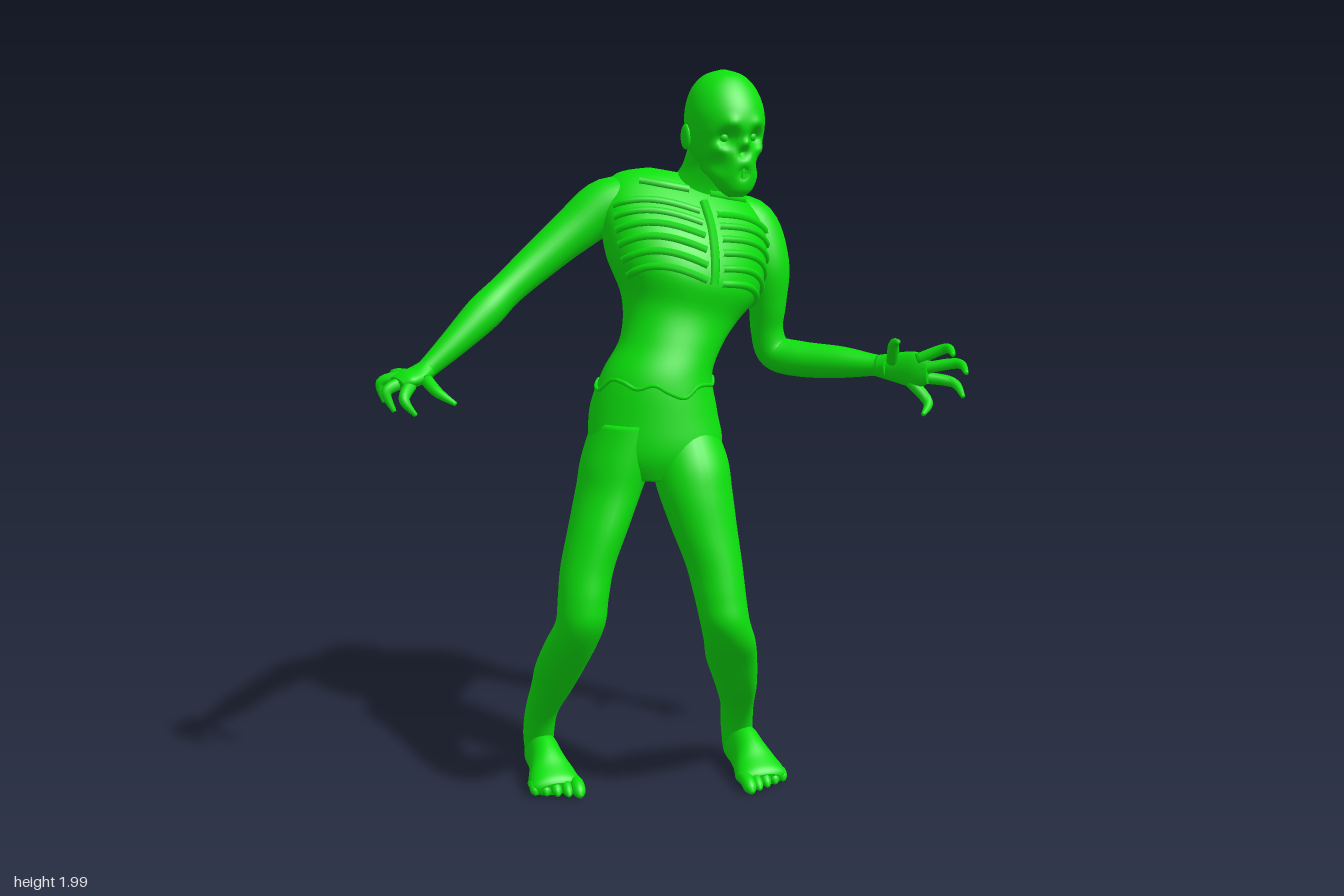
import * as THREE from 'three';

const V = (x, y, z) => new THREE.Vector3(x, y, z);
const skin = new THREE.MeshStandardMaterial({ name: 'green skin', color: 0x0ce00c });

// Smooth interpolation through rows of numbers at fractional index t
function sample(rows, t) {
  const n = rows.length - 1, i = Math.min(Math.floor(t), n - 1), f = t - i;
  const p = k => rows[Math.max(0, Math.min(n, k))];
  return rows[0].map((_, c) => {
    const a = p(i - 1)[c], b = p(i)[c], d = p(i + 1)[c], e = p(i + 2)[c];
    return b + 0.5 * f * (d - a + f * (2 * a - 5 * b + 4 * d - e + f * (3 * (b - d) + e - a)));
  });
}

// Point on a level ring: [x, y, z, rx, rz, roll slope, yaw slope]
function levelPoint(rows, t, a, grow = 1) {
  const [x, y, z, rx, rz, roll = 0, yaw = 0] = sample(rows, t);
  const u = Math.cos(a) * rx * grow;
  return V(x + u, y + roll * u, z + yaw * u + Math.sin(a) * rz * grow);
}

// Point on a ring square to the path: [x, y, z, radiusAcross, radiusUp]
function pathPoint(rows, t, a, ref) {
  const n = rows.length - 1, s = sample(rows, t);
  const p = sample(rows, Math.max(0, t - 0.3)), q = sample(rows, Math.min(n, t + 0.3));
  const T = V(q[0] - p[0], q[1] - p[1], q[2] - p[2]).normalize();
  const u = T.clone().cross(ref).normalize(), v = u.clone().cross(T);
  return V(s[0], s[1], s[2]).addScaledVector(u, Math.cos(a) * s[3])
    .addScaledVector(v, Math.sin(a) * (s[4] ?? s[3]));
}

// Closed skin over rings; ref = null gives level rings
function loft(name, rows, { ref = null, segs = 28, steps = 6, rule = null } = {}) {
  const n = (rows.length - 1) * steps, pos = [], idx = [];
  const push = p => { if (rule) rule(p); pos.push(p.x, p.y, p.z); };
  for (let i = 0; i <= n; i++) for (let j = 0; j < segs; j++) {
    const a = j / segs * Math.PI * 2;
    push(ref ? pathPoint(rows, i / steps, a, ref) : levelPoint(rows, i / steps, a));
  }
  const c0 = (n + 1) * segs;
  push(V(...rows[0].slice(0, 3)));
  push(V(...rows.at(-1).slice(0, 3)));
  for (let j = 0; j < segs; j++) {
    const k = (j + 1) % segs;
    for (let i = 0; i < n; i++) {
      const a = i * segs + j, b = i * segs + k;
      idx.push(a, a + segs, b, b, a + segs, b + segs);
    }
    idx.push(c0, j, k, c0 + 1, n * segs + k, n * segs + j);
  }
  // Turn the faces outward, judged by signed volume
  let vol = 0;
  const P = k => V(pos[3 * k], pos[3 * k + 1], pos[3 * k + 2]);
  for (let i = 0; i < idx.length; i += 3) vol += P(idx[i]).dot(P(idx[i + 1]).cross(P(idx[i + 2])));
  if (vol < 0) idx.reverse();
  const g = new THREE.BufferGeometry();
  g.setAttribute('position', new THREE.Float32BufferAttribute(pos, 3));
  g.setIndex(idx);
  g.computeVertexNormals();
  return part(name, g);
}

function part(name, geometry) {
  const m = new THREE.Mesh(geometry, skin);
  m.name = name;
  return m;
}
const ball = (name, p, r, s = [1, 1, 1]) => {
  const m = part(name, new THREE.SphereGeometry(r, 16, 12));
  m.position.copy(p);
  m.scale.set(...s);
  return m;
};
const cord = (name, pts, r) =>
  part(name, new THREE.TubeGeometry(new THREE.CatmullRomCurve3(pts), pts.length * 4, r, 6));

const torsoRows = [
  [-0.04, 0.93, 0.01, 0.09, 0.07, 0, 0.25], [-0.025, 1.0, -0.01, 0.165, 0.115, 0, 0.25],
  [-0.02, 1.1, -0.04, 0.165, 0.135, 0, 0.2], [-0.005, 1.2, -0.045, 0.145, 0.125, -0.05, 0.12],
  [0.045, 1.28, -0.06, 0.138, 0.12, -0.12, 0.05], [0.09, 1.36, -0.095, 0.16, 0.14, -0.25, 0.02],
  [0.115, 1.45, -0.12, 0.212, 0.175, -0.28, 0.05], [0.135, 1.55, -0.15, 0.232, 0.165, -0.25, 0.1],
  [0.15, 1.63, -0.18, 0.225, 0.13, -0.22, 0.15], [0.15, 1.69, -0.2, 0.175, 0.09, -0.2, 0.15],
  [0.15, 1.72, -0.2, 0.09, 0.045, -0.2, 0.15],
];

function makeTorso() {
  const g = new THREE.Group();
  g.name = 'torso';
  g.add(loft('trunk', torsoRows, { segs: 48 }));
  const on = (t, a, grow = 1) => levelPoint(torsoRows, t, a, grow);
  // Bare ribs sweeping down from the breastbone
  for (const s of [-1, 1]) for (let i = 0; i < 6; i++) {
    const pts = [];
    for (let j = 0; j < 7; j++)
      pts.push(on(7.9 - i * 0.38 + 0.22 * Math.sin(j * 0.6) - j * 0.05, Math.PI / 2 + s * (0.1 + j * 0.2), 0.99));
    g.add(cord('rib', pts, 0.011));
  }
  g.add(cord('breastbone', [8.3, 7.6, 7, 6.4, 5.9].map(t => on(t, Math.PI / 2, 0.99)), 0.014));
  for (const s of [-1, 1])
    g.add(cord('collarbone', [0.15, 0.5, 0.9].map(d => on(8.75, Math.PI / 2 + s * d)), 0.012));
  // Ragged skin edges round the hips and shoulder blades
  const ragged = (name, t0, a0, a1, amp) => {
    const pts = [];
    for (let j = 0; j <= 22; j++)
      pts.push(on(t0 + amp * (Math.sin(j * 2.1) + Math.sin(j * 0.9)), a0 + (a1 - a0) * j / 22, 1.005));
    g.add(cord(name, pts, 0.006));
  };
  ragged('torn hip skin', 2.75, 0, Math.PI * 2, 0.12);
  ragged('torn back skin', 7.3, 3.5, 5.9, 0.22);
  // Spine ridge
  g.add(cord('spine', [2.6, 4, 5, 6, 7, 8].map(t => on(t, -Math.PI / 2, 0.985)), 0.014));
  return g;
}

function makeHead() {
  const g = new THREE.Group();
  g.name = 'head';
  const X = 0.21;
  // Hollows [dx, y, reach, depth] and swellings (negative depth) of the face
  const dents = [[-0.042, 1.825, 0.022, 0.032], [0.042, 1.825, 0.022, 0.032], [0, 1.785, 0.013, 0.02],
    [-0.068, 1.755, 0.026, 0.022], [0.068, 1.755, 0.026, 0.022], [0, 1.733, 0.016, 0.014],
    [0, 1.81, 0.013, -0.014], [-0.04, 1.862, 0.018, -0.01], [0.04, 1.862, 0.018, -0.01],
    [-0.065, 1.793, 0.015, -0.012], [0.065, 1.793, 0.015, -0.012]];
  g.add(loft('skull', [
    [X, 1.668, 0, 0.022, 0.018], [X, 1.685, -0.002, 0.045, 0.038], [X, 1.715, -0.012, 0.064, 0.056],
    [X, 1.75, -0.035, 0.08, 0.085], [X, 1.8, -0.064, 0.097, 0.11], [X, 1.85, -0.064, 0.104, 0.118],
    [X, 1.9, -0.066, 0.103, 0.112], [X, 1.95, -0.07, 0.086, 0.088], [X, 1.985, -0.072, 0.052, 0.054],
    [X, 2.0, -0.072, 0.006, 0.006],
  ], {
    segs: 64, steps: 9,
    rule: p => {
      if (p.z < -0.05) return;
      for (const [dx, y, r, d] of dents)
        p.z -= d * Math.exp(-((p.x - X - dx) ** 2 + (p.y - y) ** 2) / (r * r));
    },
  }));
  for (const s of [-1, 1]) {
    g.add(ball('eye', V(X + s * 0.042, 1.825, 0.002), 0.016));
    g.add(ball('ear', V(X + s * 0.104, 1.825, -0.09), 0.034, [0.3, 1, 0.65]));
  }
  // Two rows of bared teeth
  for (const y of [1.742, 1.724]) for (let i = -3; i <= 3; i++) {
    const t = part('tooth', new THREE.BoxGeometry(0.01, 0.015, 0.012));
    t.position.set(X + i * 0.0115, y, 0.036 - i * i * 0.0022);
    g.add(t);
  }
  g.add(loft('neck', [[0.18, 1.6, -0.2, 0.13, 0.1], [0.195, 1.68, -0.175, 0.1, 0.09],
    [0.208, 1.74, -0.135, 0.082, 0.075], [0.21, 1.8, -0.105, 0.078, 0.07], [0.21, 1.85, -0.09, 0.07, 0.06]]));
  return g;
}

// Palm and five clawed fingers; each finger is given as knuckle, joint, tip
function makeHand(name, palm, fingers) {
  const g = new THREE.Group();
  g.name = name;
  g.add(loft('palm', palm.rows, { ref: palm.ref, segs: 18 }));
  fingers.forEach(f => g.add(loft('finger',
    f.map((p, i) => [...p, [0.017, 0.014, 0.006][i]]), { ref: V(1, -1, 0), segs: 10 })));
  return g;
}

// Foot from heel to toes on the ground, in plan
function makeFoot(name, hx, hz, tx, tz, side) {
  const g = new THREE.Group();
  g.name = name;
  const at = (f, y, w, h) => [hx + (tx - hx) * f, y, hz + (tz - hz) * f, w, h];
  const flat = p => { p.y = Math.max(p.y, 0.006); };
  g.add(loft('sole', [at(-0.07, 0.04, 0.012, 0.015), at(0, 0.045, 0.04, 0.045), at(0.25, 0.06, 0.045, 0.075),
    at(0.5, 0.05, 0.052, 0.07), at(0.75, 0.036, 0.068, 0.05), at(0.95, 0.028, 0.072, 0.034),
    at(1.02, 0.024, 0.05, 0.02)], { ref: V(0, 1, 0), rule: flat }));
  const d = V(tx - hx, 0, tz - hz).normalize(), across = V(d.z, 0, -d.x).multiplyScalar(side);
  for (let i = 0; i < 5; i++) {
    const r = i === 0 ? 0.02 : 0.015, len = 0.06 - i * 0.007;
    const b = V(tx, 0, tz).addScaledVector(across, -0.056 + i * 0.029).addScaledVector(d, -0.015 - i * 0.005);
    const q = (f, y, k) => [b.x + d.x * len * f, y, b.z + d.z * len * f, r * k];
    g.add(loft('toe', [q(-0.4, 0.03, 0.9), q(0.4, 0.032, 1), q(0.85, 0.02, 0.9), q(1.1, 0.012, 0.3)],
      { ref: V(0, 1, 0), segs: 12, rule: flat }));
  }
  return g;
}

export function createModel() {
  const model = new THREE.Group();
  model.name = 'undead figure';
  model.add(makeTorso(), makeHead());

  // Legs, bent at the knee
  model.add(loft('left leg', [[0.04, 1.08, -0.01, 0.09, 0.1], [0.046, 0.98, 0.04, 0.104, 0.105],
    [0.048, 0.9, 0.07, 0.102, 0.098], [0.06, 0.8, 0.1, 0.09, 0.088], [0.075, 0.7, 0.13, 0.076, 0.08],
    [0.08, 0.62, 0.155, 0.07, 0.072], [0.088, 0.55, 0.168, 0.067, 0.07], [0.12, 0.48, 0.14, 0.069, 0.077],
    [0.163, 0.4, 0.078, 0.068, 0.08], [0.215, 0.3, 0.01, 0.055, 0.076], [0.265, 0.2, -0.065, 0.043, 0.06],
    [0.288, 0.12, -0.105, 0.042, 0.058], [0.292, 0.05, -0.11, 0.038, 0.05]]));
  model.add(loft('right leg', [[-0.095, 1.08, -0.05, 0.085, 0.11], [-0.125, 0.98, -0.05, 0.094, 0.11],
    [-0.152, 0.9, -0.045, 0.086, 0.104], [-0.195, 0.8, -0.025, 0.078, 0.093], [-0.235, 0.7, -0.01, 0.071, 0.08],
    [-0.255, 0.62, 0.004, 0.067, 0.075], [-0.263, 0.55, 0.002, 0.066, 0.074], [-0.268, 0.47, -0.055, 0.067, 0.083],
    [-0.265, 0.38, -0.135, 0.062, 0.085], [-0.258, 0.3, -0.205, 0.052, 0.077], [-0.255, 0.2, -0.285, 0.043, 0.06],
    [-0.25, 0.12, -0.32, 0.042, 0.056], [-0.245, 0.05, -0.33, 0.038, 0.05]]));
  model.add(makeFoot('left foot', 0.3, -0.13, 0.267, 0.09, 1));
  model.add(makeFoot('right foot', -0.24, -0.35, -0.28, -0.13, -1));

  // Arms
  model.add(loft('left arm', [[0.28, 1.58, -0.18, 0.08], [0.345, 1.56, -0.16, 0.085], [0.372, 1.46, -0.12, 0.073],
    [0.382, 1.36, -0.115, 0.054], [0.388, 1.28, -0.125, 0.046], [0.41, 1.215, -0.115, 0.05],
    [0.46, 1.2, -0.05, 0.05], [0.53, 1.2, 0.045, 0.044], [0.585, 1.2, 0.13, 0.03], [0.605, 1.2, 0.17, 0.03]],
  { ref: V(1, 0, 0) }));
  model.add(loft('right arm', [[0.03, 1.62, -0.21, 0.09], [-0.06, 1.635, -0.235, 0.076], [-0.16, 1.57, -0.245, 0.062],
    [-0.27, 1.49, -0.245, 0.052], [-0.36, 1.425, -0.235, 0.046], [-0.43, 1.37, -0.225, 0.049],
    [-0.52, 1.3, -0.21, 0.038], [-0.6, 1.24, -0.2, 0.027], [-0.63, 1.22, -0.195, 0.028]], { ref: V(0, 0, 1) }));

  model.add(makeHand('left hand', {
    ref: V(1, 0, 0),
    rows: [[0.585, 1.2, 0.14, 0.03, 0.026], [0.615, 1.2, 0.19, 0.042, 0.024],
      [0.64, 1.2, 0.24, 0.05, 0.022], [0.66, 1.2, 0.275, 0.035, 0.014]],
  }, [
    [[0.6, 1.22, 0.19], [0.57, 1.275, 0.235], [0.55, 1.29, 0.285]],
    [[0.64, 1.23, 0.25], [0.69, 1.265, 0.31], [0.66, 1.26, 0.38]],
    [[0.65, 1.205, 0.26], [0.715, 1.225, 0.33], [0.695, 1.21, 0.395]],
    [[0.65, 1.18, 0.25], [0.715, 1.17, 0.31], [0.71, 1.14, 0.365]],
    [[0.635, 1.165, 0.23], [0.66, 1.115, 0.275], [0.62, 1.09, 0.31]],
  ]));
  model.add(makeHand('right hand', {
    ref: V(0, 1, 0),
    rows: [[-0.6, 1.24, -0.2, 0.028, 0.024], [-0.635, 1.222, -0.195, 0.045, 0.024],
      [-0.67, 1.215, -0.19, 0.05, 0.022], [-0.695, 1.21, -0.185, 0.032, 0.014]],
  }, [
    [[-0.62, 1.215, -0.16], [-0.61, 1.19, -0.105], [-0.58, 1.165, -0.06]],
    [[-0.65, 1.22, -0.225], [-0.67, 1.215, -0.27], [-0.64, 1.17, -0.285]],
    [[-0.675, 1.22, -0.21], [-0.72, 1.205, -0.23], [-0.715, 1.155, -0.22]],
    [[-0.68, 1.21, -0.185], [-0.725, 1.19, -0.175], [-0.71, 1.14, -0.16]],
    [[-0.665, 1.205, -0.16], [-0.695, 1.175, -0.125], [-0.67, 1.135, -0.11]],
  ]));
  return model;
}
